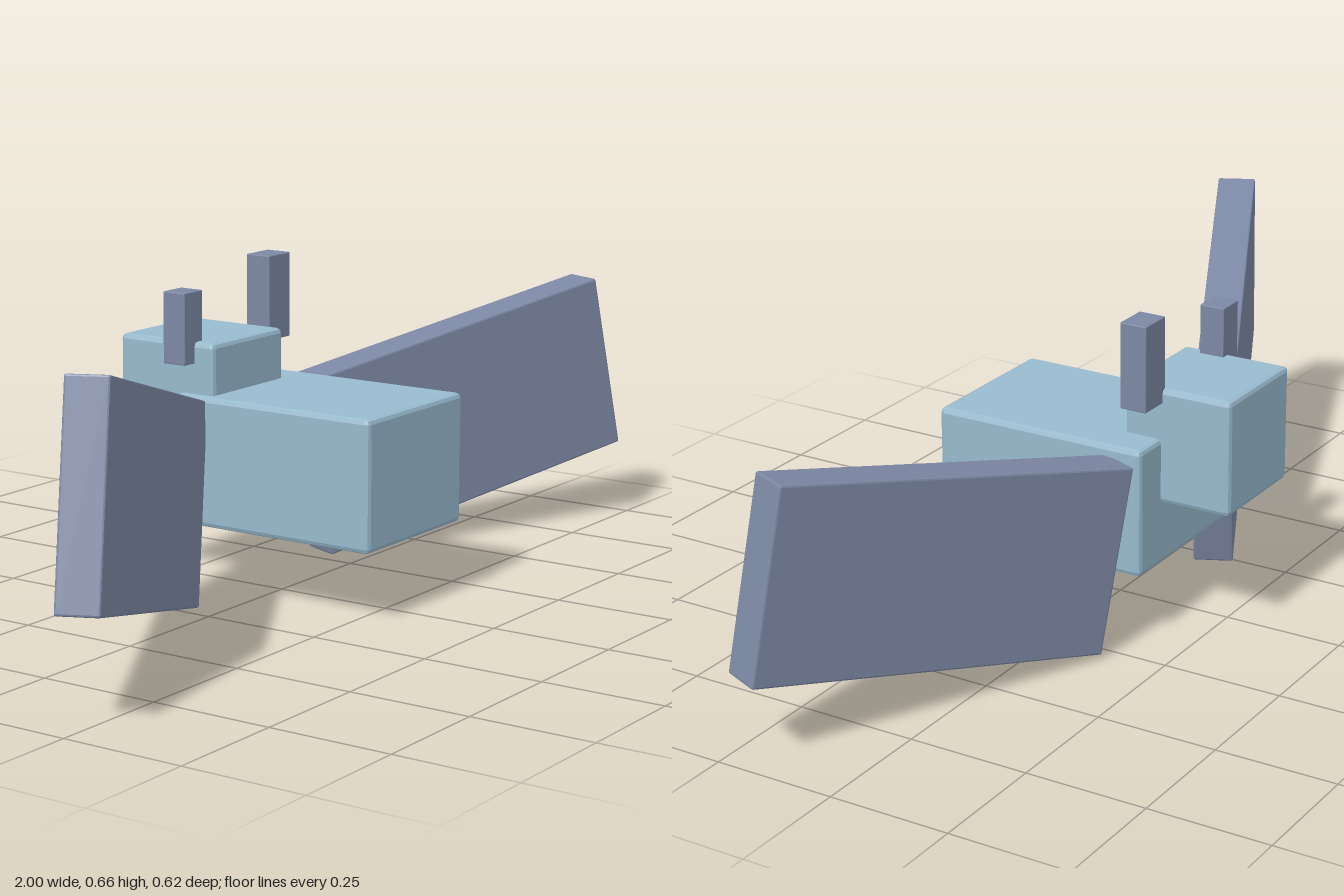
import * as THREE from 'three';
import { RoundedBoxGeometry } from 'three/addons/geometries/RoundedBoxGeometry.js';

export function createModel() {
  const model = new THREE.Group();
  model.name = 'blockBird';

  const paleBlue = new THREE.MeshStandardMaterial({ color: 0x98bace, flatShading: true });
  paleBlue.name = 'paleBlue';
  const slateBlue = new THREE.MeshStandardMaterial({ color: 0x7c88a4, flatShading: true });
  slateBlue.name = 'slateBlue';

  // Chamfered block given by its min and max corners
  function block(name, material, min, max, bevel) {
    const [w, h, d] = max.map((v, i) => v - min[i]);
    const mesh = new THREE.Mesh(new RoundedBoxGeometry(w, h, d, 1, bevel), material);
    mesh.position.set(...max.map((v, i) => (v + min[i]) / 2));
    mesh.name = name;
    model.add(mesh);
  }

  // Tilted slab: centre, span direction (towards +x) and upward direction
  function wing(name, centre, span, up, size) {
    const x = new THREE.Vector3(...span).normalize();
    const z = new THREE.Vector3().crossVectors(x, new THREE.Vector3(...up)).normalize();
    const y = new THREE.Vector3().crossVectors(z, x);
    const mesh = new THREE.Mesh(new RoundedBoxGeometry(...size, 1, 0.004), slateBlue);
    mesh.quaternion.setFromRotationMatrix(new THREE.Matrix4().makeBasis(x, y, z));
    mesh.position.set(...centre);
    mesh.name = name;
    model.add(mesh);
  }

  // Body and head
  block('body', paleBlue, [-0.14, 0.152, -0.163], [0.2, 0.417, 0.3], 0.01);
  block('head', paleBlue, [-0.12, 0.283, -0.314], [0.12, 0.521, -0.082], 0.01);

  // Ears
  block('leftEar', slateBlue, [0.11, 0.492, -0.166], [0.184, 0.667, -0.109], 0.002);
  block('rightEar', slateBlue, [-0.152, 0.478, -0.181], [-0.093, 0.623, -0.128], 0.002);

  // Wings, swept forward and raised at the tips
  wing('leftWing', [0.592, 0.283, 0.042], [0.709, 0.157, 0.296], [-0.07, 0.375, -0.03], [0.784, 0.383, 0.087]);
  wing('rightWing', [-0.56, 0.313, 0.068], [0.76, -0.214, -0.363], [0.083, 0.4, -0.04], [0.87, 0.41, 0.082]);

  return model;
}
